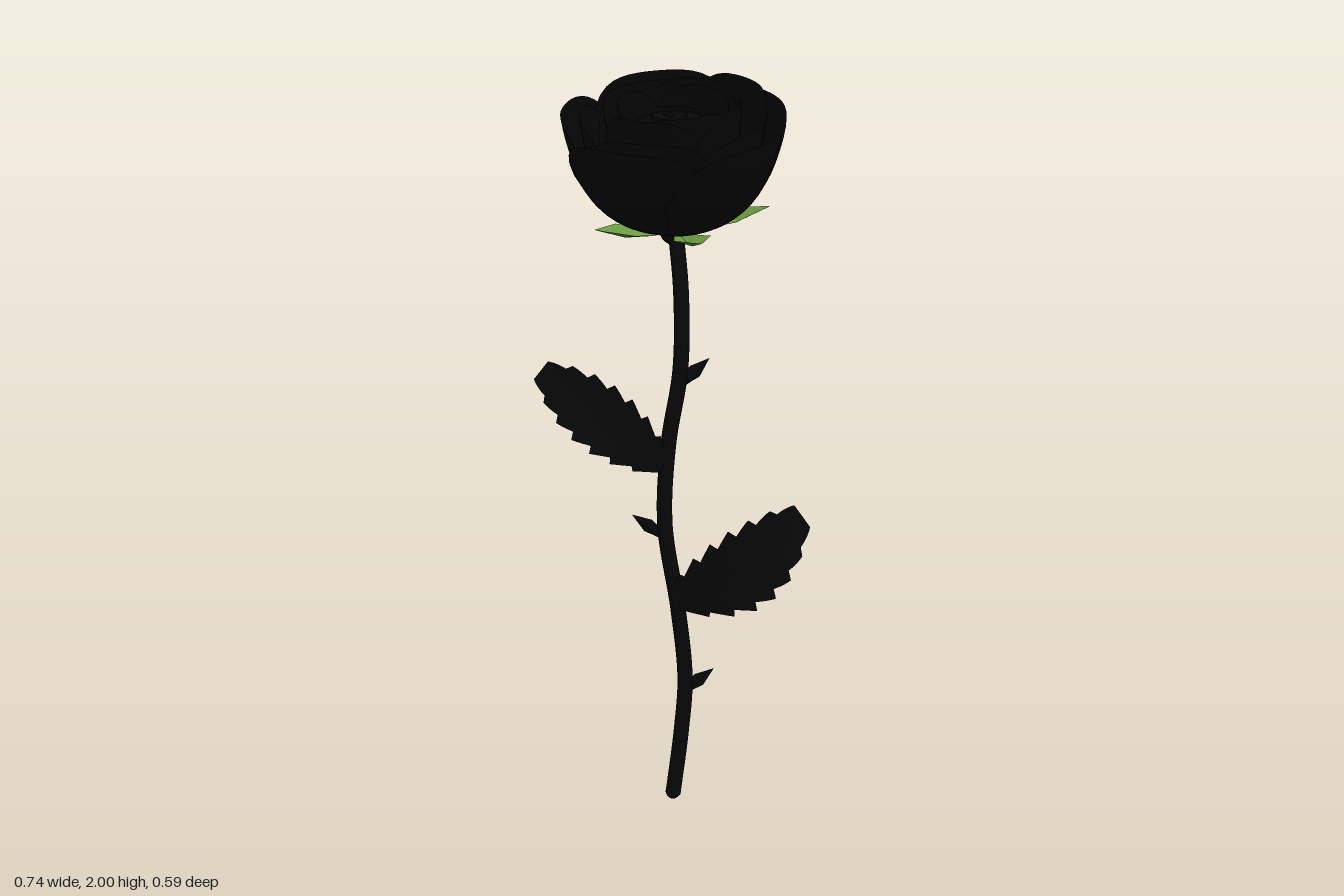
import * as THREE from 'three';
import { ParametricGeometry } from 'three/addons/geometries/ParametricGeometry.js';

const V = (x, y, z) => new THREE.Vector3(x, y, z);
const black = new THREE.MeshStandardMaterial({ color: 0x070707, side: THREE.DoubleSide });
const green = new THREE.MeshStandardMaterial({ color: 0x6a9a42, side: THREE.DoubleSide, flatShading: true });

function add(parent, name, geometry, material = black) {
  const mesh = new THREE.Mesh(geometry, material);
  mesh.name = name;
  parent.add(mesh);
  return mesh;
}

// Surface from a rule f(u, v) returning a point
function surface(f, nu, nv) {
  const g = new ParametricGeometry((u, v, p) => p.copy(f(u, v)), nu, nv);
  g.computeVertexNormals();
  return g;
}

// Lathe from [radius, height] pairs
const lathe = (points, sides) => new THREE.LatheGeometry(points.map(([r, y]) => new THREE.Vector2(r, y)), sides);

// Cupped petal: patch of a full bowl with a rounded rim; one side overlaps its neighbour
function petal({ angle, half, R, H, tMax }) {
  return surface((u, v) => {
    const s = u * 2 - 1;
    const edge = 1 - 0.28 * Math.abs(s) ** 4;
    const t = 0.06 + (tMax * edge - 0.06) * v;
    const a = angle + s * half;
    const r = R * Math.sin(t) ** 0.76 * (1 + 0.025 * s - 0.03 * s ** 4) + 0.006 * v ** 8;
    const h = 0.015 + H * (1 - Math.cos(t)) / (1 - Math.cos(tMax));
    return V(r * Math.cos(a), h, r * Math.sin(a) + 0.01 * v);
  }, 20, 16);
}

// Serrated leaf between two points, bulging forward, folded along the midrib and slightly tilted
function leaf(base, tip, halfWidth, bulge, sag) {
  const dir = tip.clone().sub(base);
  const perp = V(-dir.y, dir.x, 0).normalize();
  if (perp.y < 0) perp.negate();
  return surface((u, v) => {
    const s = u * 2 - 1;
    const tooth = 0.82 + 0.28 * ((v * 6.999) % 1);
    const w = halfWidth * tooth * (0.1 + 0.9 * Math.sin(Math.PI * (0.04 + 0.91 * v)) ** 0.75);
    const arch = Math.sin(Math.PI * v);
    const p = base.clone().addScaledVector(dir, v).addScaledVector(perp, s * w + sag * arch);
    p.z += bulge * arch + 0.01 * Math.abs(s) * arch - 0.1 * s * w;
    return p;
  }, 4, 42);
}

// Kite-shaped sepal with a sunken centre fold
function sepal() {
  const outline = [[0.02, -0.005, 0.012], [0.08, -0.002, 0.028], [0.16, 0.015, 0.05], [0.25, 0.06, 0.002]];
  const pos = [], index = [];
  outline.forEach(([x, y, w], i) => {
    pos.push(x, y + w * 0.45, -w, x, y, 0, x, y + w * 0.45, w);
    if (i) for (let k = 0; k < 2; k++) {
      const a = i * 3 - 3 + k, b = a + 3;
      index.push(a, a + 1, b, a + 1, b + 1, b);
    }
  });
  const g = new THREE.BufferGeometry();
  g.setAttribute('position', new THREE.Float32BufferAttribute(pos, 3));
  g.setIndex(index);
  g.computeVertexNormals();
  return g;
}

export function createModel() {
  const model = new THREE.Group();
  model.name = 'rose';

  // Gently winding stem, leaning back below the flower
  const path = new THREE.CatmullRomCurve3([
    V(-0.003, 0.015, -0.03), V(0.02, 0.2, -0.03), V(0.03, 0.35, -0.03), V(0.01, 0.55, -0.027),
    V(-0.025, 0.78, -0.025), V(-0.015, 1.0, -0.022), V(0.017, 1.2, -0.02), V(0.017, 1.4, -0.048), V(-0.002, 1.57, -0.108),
  ]);
  add(model, 'stem', new THREE.TubeGeometry(path, 64, 0.021, 12));
  add(model, 'stemEnd', new THREE.SphereGeometry(0.021, 12, 8)).position.set(-0.003, 0.021, -0.03);

  // Thorns: flattened spikes that swell before the tip
  const thornShape = lathe([[0.01, 0], [0.014, 0.03], [0.019, 0.055], [0, 0.108]], 8);
  const thorns = [[V(0.015, 1.16, -0.02), V(0.092, 1.23, -0.02)], [V(-0.025, 0.745, -0.025), V(-0.115, 0.805, -0.025)],
    [V(0.025, 0.31, -0.03), V(0.11, 0.378, -0.03)]];
  for (const [from, to] of thorns) {
    const thorn = add(model, 'thorn', thornShape);
    thorn.scale.z = 0.6;
    thorn.position.copy(from);
    thorn.quaternion.setFromUnitVectors(V(0, 1, 0), to.clone().sub(from).normalize());
  }

  // Leaves
  add(model, 'leftLeaf', leaf(V(0, 0.565, -0.012), V(0.345, 0.82, 0.042), 0.1, 0.028, -0.028));
  add(model, 'rightLeaf', leaf(V(-0.025, 0.94, -0.005), V(-0.352, 1.2, 0.018), 0.085, 0.025, 0.003));

  // Flower head, tilted forward about its base
  const flower = new THREE.Group();
  flower.name = 'flower';
  flower.position.set(0, 1.575, -0.112);
  flower.rotation.x = 0.42;
  model.add(flower);

  add(flower, 'receptacle', new THREE.SphereGeometry(0.048, 16, 12));
  const sepalShape = sepal();
  for (let i = 0; i < 5; i++) {
    add(flower, 'sepal', sepalShape, green).rotation.y = THREE.MathUtils.degToRad(73 - i * 72);
  }

  // Petal rings from the open outer cup to the closed heart
  const rings = [
    { name: 'outerPetal', n: 5, start: 257, half: 0.87, R: 0.284, tMax: 1.55, H: [0.33, 0.31, 0.285, 0.3, 0.315] },
    { name: 'middlePetal', n: 5, start: 320, half: 0.85, R: 0.235, tMax: 1.65, H: [0.35, 0.3, 0.31, 0.31, 0.32] },
    { name: 'innerPetal', n: 4, start: 20, half: 1.0, R: 0.175, tMax: 1.7, H: [0.345] },
    { name: 'heartPetal', n: 3, start: 70, half: 1.3, R: 0.14, tMax: 1.85, H: [0.34] },
  ];
  for (const { name, n, start, H, ...shape } of rings) {
    for (let i = 0; i < n; i++) {
      const angle = THREE.MathUtils.degToRad(start + i * 360 / n);
      add(flower, name, petal({ ...shape, angle, H: H[i % H.length] }));
    }
  }

  // Rolled centre: a spiral sheet standing on a shallow dome
  add(flower, 'rolledCentre', surface((u, v) => {
    const r = 0.012 + 0.078 * u, a = 1.2 + u * Math.PI * 4.6;
    return V(r * Math.cos(a), 0.2 + v * (0.135 - 0.02 * u), r * Math.sin(a) + 0.012);
  }, 90, 3));
  const heart = lathe([[0.12, 0.2], [0.115, 0.27], [0.09, 0.3], [0.05, 0.316], [0, 0.322]], 32);
  add(flower, 'heart', heart).position.z = 0.012;

  return model;
}
